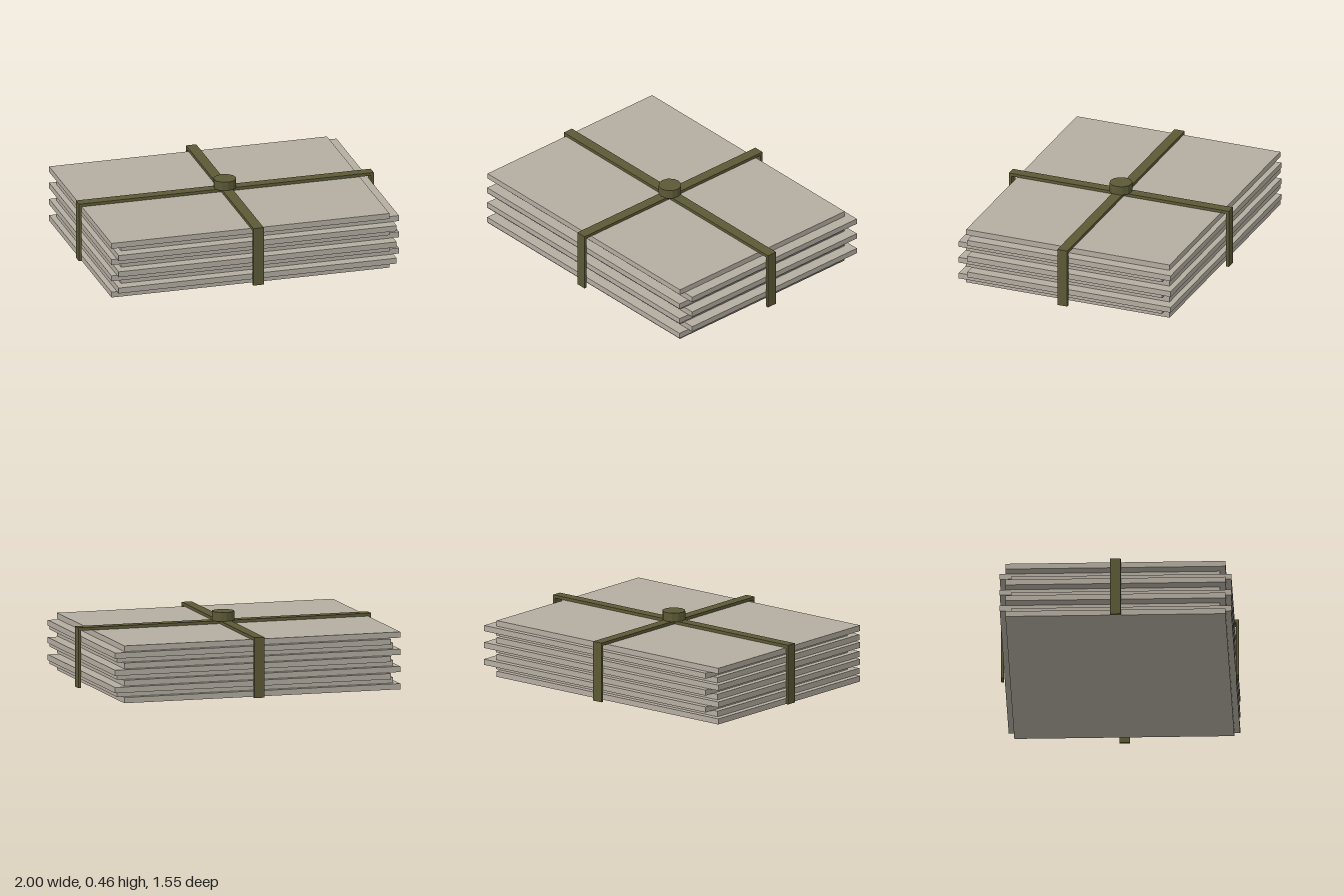
import * as THREE from 'three';

const sheetMat = new THREE.MeshStandardMaterial({ color: 0xb4ada1 });
sheetMat.name = 'pale sheet';
const strapMat = new THREE.MeshStandardMaterial({ color: 0x5c5936 });
strapMat.name = 'olive strap';

const STACK = 0.378, TOP = 0.398, WIDTH = 0.07;

// Upside-down U strap, centred, running along x
function makeStrap(name, outer, inner) {
  const shape = new THREE.Shape([
    [-outer, 0], [-inner, 0], [-inner, STACK], [inner, STACK],
    [inner, 0], [outer, 0], [outer, TOP], [-outer, TOP],
  ].map(([x, y]) => new THREE.Vector2(x, y)));
  const geo = new THREE.ExtrudeGeometry(shape, { depth: WIDTH, bevelEnabled: false });
  geo.translate(0, 0, -WIDTH / 2);
  const strap = new THREE.Mesh(geo, strapMat);
  strap.name = name;
  return strap;
}

export function createModel() {
  const model = new THREE.Group();
  model.name = 'strappedStack';

  // Ten sheets, shifted in a repeating cycle of three
  const count = 10, pitch = STACK / count;
  const shifts = [[-0.038, 0], [0, 0.037], [0.038, -0.039]];
  const sheetGeo = new THREE.BoxGeometry(1.885, pitch, 1.432);
  for (let i = 0; i < count; i++) {
    const [x, z] = shifts[i % 3];
    const sheet = new THREE.Mesh(sheetGeo, sheetMat);
    sheet.name = `sheet${i + 1}`;
    sheet.position.set(x, pitch * (i + 0.5), z);
    model.add(sheet);
  }

  // Crossed straps
  model.add(makeStrap('longStrap', 1, 0.981));
  const cross = makeStrap('crossStrap', 0.774, 0.755);
  cross.rotation.y = Math.PI / 2;
  model.add(cross);

  // Knot where the straps meet
  const knotGeo = new THREE.CylinderGeometry(0.075, 0.075, 0.06, 12).toNonIndexed();
  knotGeo.computeVertexNormals();
  const knot = new THREE.Mesh(knotGeo, strapMat);
  knot.name = 'knot';
  knot.position.y = 0.426;
  model.add(knot);

  return model;
}
